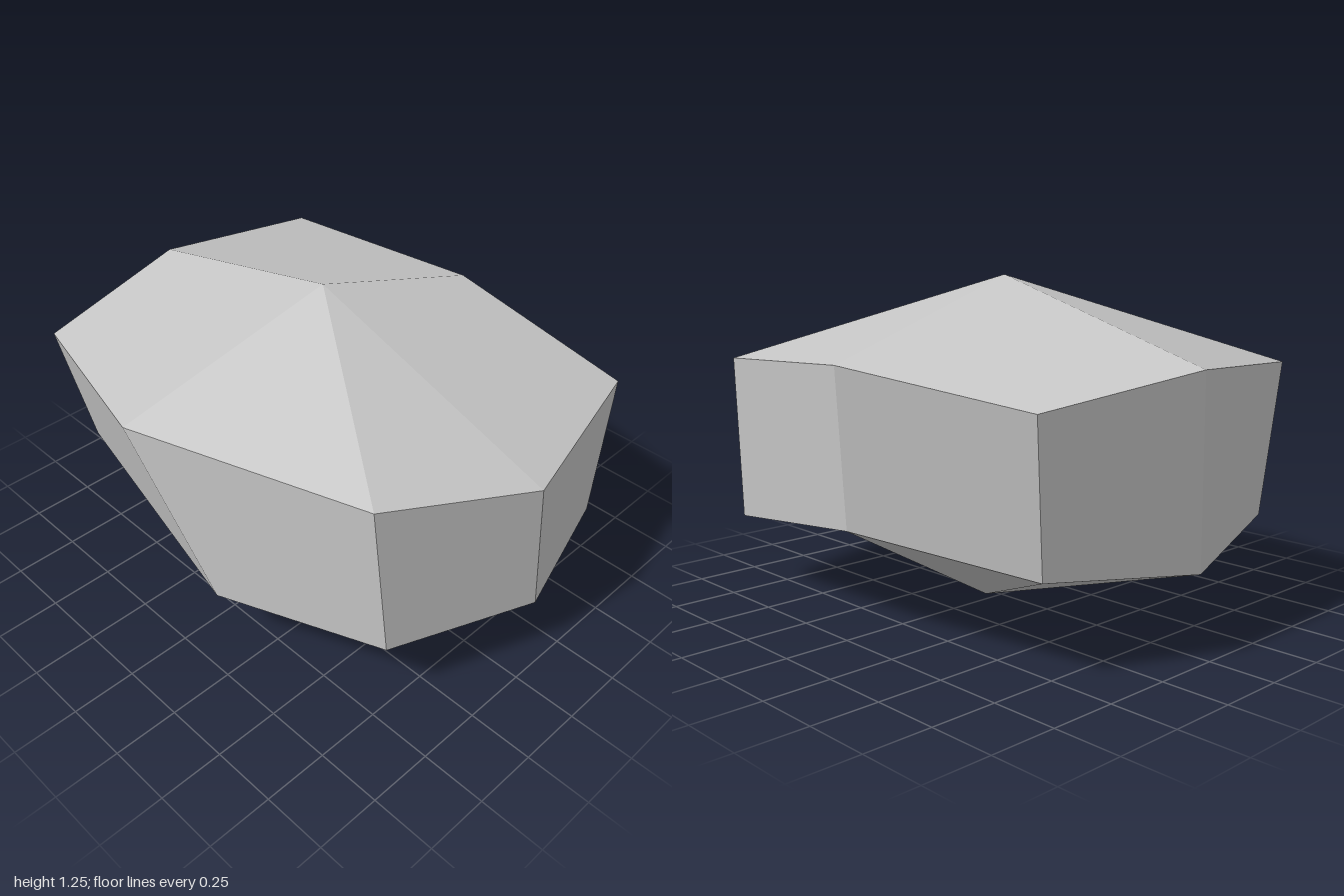
import * as THREE from 'three';

// Faceted boulder: two uneven eight-point rings closed by a peak and a base point.
export function createModel() {
  const peak = [0, 1.25, 0.015];
  const base = [0.045, 0, -0.04];
  const upper = [
    [1, 0.9, 0], [0.77, 0.995, 0.55], [-0.21, 0.905, 0.77], [-0.83, 0.94, 0.63],
    [-0.985, 0.98, -0.05], [-0.915, 0.906, -0.74], [0, 0.97, -0.775], [0.83, 0.92, -0.66],
  ];
  const lower = [
    [0.965, 0.285, -0.11], [0.77, 0.325, 0.465], [0.15, 0.3, 0.695], [-0.84, 0.39, 0.5],
    [-1, 0.315, -0.065], [-0.785, 0.347, -0.58], [0.02, 0.385, -0.725], [0.797, 0.29, -0.66],
  ];

  const points = [];
  const normals = [];
  const vec = (from, to) => new THREE.Vector3(...to).sub(new THREE.Vector3(...from));

  // One facet with a single normal; a four-cornered facet folds from its first to its third corner
  function facet(a, b, c, d) {
    const normal = d ? vec(a, c).cross(vec(b, d)) : vec(a, b).cross(vec(a, c));
    normal.normalize();
    for (const corner of d ? [a, b, c, a, c, d] : [a, b, c]) {
      points.push(...corner);
      normals.push(...normal.toArray());
    }
  }

  // Sides, each folded along its shorter diagonal
  for (let i = 0; i < 8; i++) {
    const j = (i + 1) % 8;
    const [a, b, c, d] = [upper[i], upper[j], lower[j], lower[i]];
    if (vec(a, c).length() < vec(b, d).length()) facet(a, b, c, d);
    else facet(b, c, d, a);
  }

  // Crown
  facet(peak, upper[1], upper[0]);
  facet(peak, upper[2], upper[1]);
  facet(peak, upper[4], upper[3], upper[2]);
  facet(upper[6], upper[5], upper[4], peak);
  facet(peak, upper[0], upper[7], upper[6]);

  // Underside
  facet(base, lower[0], lower[1], lower[2]);
  facet(base, lower[2], lower[3], lower[4]);
  facet(base, lower[4], lower[5], lower[6]);
  facet(lower[6], lower[7], lower[0], base);

  const geometry = new THREE.BufferGeometry();
  geometry.setAttribute('position', new THREE.Float32BufferAttribute(points, 3));
  geometry.setAttribute('normal', new THREE.Float32BufferAttribute(normals, 3));

  const stone = new THREE.MeshStandardMaterial({ color: 0xc6c6c6 });
  stone.name = 'stoneGrey';
  const boulder = new THREE.Mesh(geometry, stone);
  boulder.name = 'boulder';

  const group = new THREE.Group();
  group.name = 'rock';
  group.add(boulder);
  return group;
}
